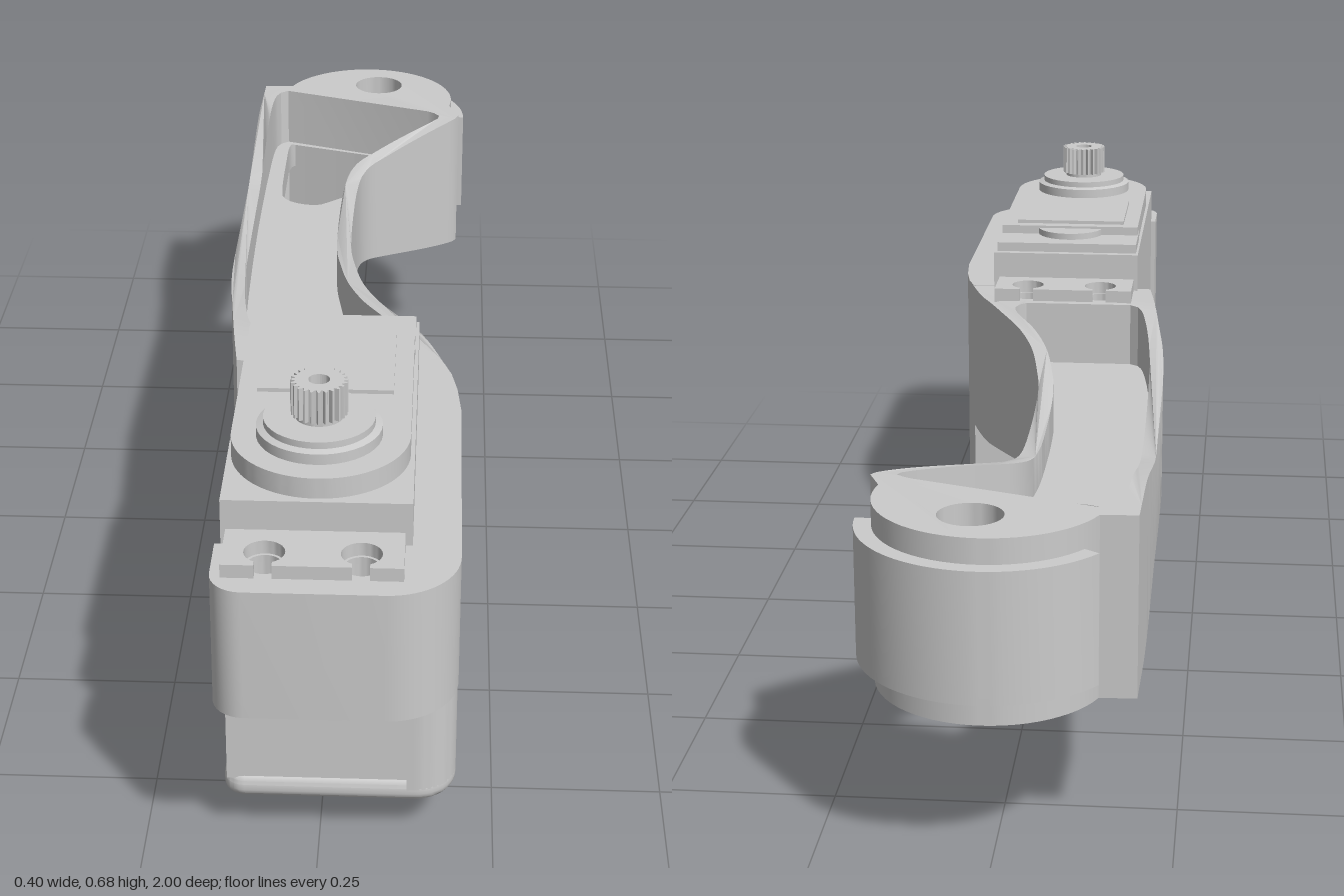
import * as THREE from 'three';
import { toCreasedNormals } from 'three/addons/utils/BufferGeometryUtils.js';

const V = (p) => new THREE.Vector2(p[0], -p[1]); // plan point (x, z) to shape space
const spline = (pts, n) => new THREE.SplineCurve(pts.map(V)).getSpacedPoints(n);
// Arc in shape space, where +y points to the back
const arc = (x, z, r, a0, a1, n = 24) => Array.from({ length: n + 1 }, (_, i) => {
  const a = THREE.MathUtils.degToRad(a0 + ((a1 - a0) * i) / n);
  return new THREE.Vector2(x + r * Math.cos(a), -z + r * Math.sin(a));
});
const circle = (x, z, r) => arc(x, z, r, 0, 360, 32).slice(0, -1);
// Outlines run counter-clockwise and holes clockwise, so that all walls face outwards
const wind = (pts, clockwise) =>
  (THREE.ShapeUtils.isClockWise(pts) === clockwise ? pts : [...pts].reverse());

// Upright slab from a plan outline, with holes and an optional bevel
function slab(outline, y0, y1, holes = [], bevel = 0) {
  const shape = new THREE.Shape(wind(outline, false));
  shape.holes = holes.map((h) => new THREE.Path(wind(h, true)));
  const g = new THREE.ExtrudeGeometry(shape, {
    depth: y1 - y0 - 2 * bevel, bevelEnabled: bevel > 0,
    bevelSize: bevel, bevelThickness: bevel, bevelOffset: -bevel, bevelSegments: 4,
  });
  return g.rotateX(-Math.PI / 2).translate(0, y0 + bevel, 0);
}

export function createModel() {
  const model = new THREE.Group();
  const material = new THREE.MeshStandardMaterial({ color: 0xcccccc });

  function add(name, geometry, x = 0, y = 0, z = 0) {
    const mesh = new THREE.Mesh(toCreasedNormals(geometry, 0.5), material);
    mesh.name = name;
    mesh.position.set(x, y, z);
    model.add(mesh);
    return mesh;
  }
  const box = (name, x0, x1, y0, y1, z0, z1) => add(name,
    new THREE.BoxGeometry(x1 - x0, y1 - y0, z1 - z0), (x0 + x1) / 2, (y0 + y1) / 2, (z0 + z1) / 2);

  // Arm: curved rim around a channel, pinched in height along its length
  const left = spline([[-0.155, 0.335], [-0.167, 0.24], [-0.18, 0.12], [-0.192, 0], [-0.198, -0.15],
    [-0.201, -0.4], [-0.2, -0.65], [-0.196, -0.87]], 60);
  const right = spline([[0.19, -0.73], [0.175, -0.705], [0.06, -0.59], [0.018, -0.54], [0.003, -0.47],
    [0, -0.32], [0.003, -0.18], [0.012, -0.1], [0.03, 0], [0.06, 0.09], [0.1, 0.17], [0.14, 0.25],
    [0.169, 0.335]], 70);
  const outline = [...left, ...arc(0.01, -0.81, 0.165, 158, -12, 30), ...right];
  const channel = [
    ...spline([[-0.125, 0.22], [-0.144, 0.2], [-0.158, 0.12], [-0.169, 0], [-0.175, -0.15],
      [-0.179, -0.4], [-0.178, -0.65], [-0.172, -0.81], [-0.15, -0.845]], 60),
    ...spline([[0.13, -0.745], [0.152, -0.727], [0.142, -0.705], [0.04, -0.605], [-0.006, -0.55],
      [-0.022, -0.47], [-0.025, -0.32], [-0.022, -0.18], [-0.013, -0.1], [0.005, 0], [0.034, 0.09],
      [0.07, 0.165], [0.077, 0.2], [0.06, 0.22]], 70),
  ];
  const rim = slab(outline, 0, 1, [channel, circle(0.03, -0.885, 0.046),
    circle(-0.068, 0.27, 0.024), circle(0.062, 0.27, 0.024)]);
  const pos = rim.attributes.position;
  for (let i = 0; i < pos.count; i++) {
    const z = pos.getZ(i);
    const u = THREE.MathUtils.clamp((0.22 - z) / 0.66, 0, 1);
    const pinch = z < -0.44 ? THREE.MathUtils.smoothstep(z, -0.76, -0.44)
      : 0.5 * (1 - (1 - u) ** 2 + THREE.MathUtils.smoothstep(u, 0, 1));
    pos.setY(i, THREE.MathUtils.lerp(0.227 + 0.05 * pinch, 0.494 - 0.053 * pinch, pos.getY(i)));
  }
  add('armRim', rim);

  // Web between the rim walls, with the three-cornered opening
  const opening = spline([[-0.148, -0.8], [-0.14, -0.838], [-0.11, -0.838], [0.0, -0.79], [0.1, -0.745],
    [0.118, -0.725], [0.1, -0.695], [-0.05, -0.545], [-0.09, -0.527], [-0.135, -0.55],
    [-0.147, -0.6], [-0.148, -0.8]], 60).slice(0, -1);
  add('armWeb', slab(channel, 0.335, 0.385, [opening]));

  // Raised pad wrapped around the arm's tip
  add('tipPad', slab([...arc(0.01, -0.81, 0.19, 145, 0, 32), ...arc(0.01, -0.81, 0.155, 0, 145, 32)],
    0.267, 0.457));

  // Housing: floor tray, side wall and front mounting block
  add('housingFloor', slab([...arc(-0.117, 0.36, 0.02, 180, 90, 6), ...arc(0.125, 0.39, 0.05, 90, 30, 8),
    V([0.189, 0.42]), V([0.195, 0.49]), ...arc(0.135, 0.82, 0.06, 0, -90, 10),
    ...arc(-0.107, 0.85, 0.03, -90, -180, 6)], 0.068, 0.107, [], 0.015));
  add('housingWall', slab([[0.125, 0.333], [0.168, 0.333], [0.18, 0.37], [0.189, 0.42], [0.195, 0.49]].map(V)
    .concat(arc(0.135, 0.82, 0.06, 0, -90, 12), [V([0.125, 0.88])]), 0.09, 0.495));
  add('frontMount', slab([V([-0.14, 0.88]), V([0.11, 0.88]), V([0.15, 0.8]), V([0.195, 0.8]),
    ...arc(0.095, 0.9, 0.1, 0, -90, 16), ...arc(-0.095, 0.955, 0.045, -90, -180, 8)],
  0.295, 0.495, [circle(-0.068, 0.93, 0.024), circle(0.062, 0.93, 0.024)]));

  // Motor case and its stepped lid
  box('motorCase', -0.132, 0.129, 0.1, 0.56, 0.322, 0.874);
  box('lidStep', -0.128, 0.124, 0.555, 0.576, 0.335, 0.45);
  add('lid', slab([V([-0.127, 0.41]), V([0.123, 0.41]), ...arc(-0.002, 0.74, 0.125, 0, -180, 40)],
    0.555, 0.591));
  add('lidTab', new THREE.CylinderGeometry(0.06, 0.06, 0.03, 32), -0.003, 0.572, 0.425);
  box('lidPanel', -0.1, 0.096, 0.585, 0.597, 0.43, 0.62);

  // Mounting ears with keyhole slots
  const keyhole = (x) => [new THREE.Vector2(x + 0.012, 0.095),
    ...arc(x, -0.06, 0.028, 64.6, -244.6, 28), new THREE.Vector2(x - 0.012, 0.095)];
  const ear = [V([-0.122, 0.01]), V([0.122, 0.01]), V([0.122, -0.095]),
    ...keyhole(0.065), ...keyhole(-0.065), V([-0.122, -0.095])];
  add('backEar', slab(ear, 0.49, 0.515), -0.003, 0, 0.33);
  add('frontEar', slab(ear, 0.49, 0.515), -0.003, 0, 0.87).rotation.y = Math.PI;

  // Output stage: stepped collar and toothed shaft
  const lathe = (pts) => new THREE.LatheGeometry(pts.map((p) => new THREE.Vector2(...p)), 40);
  add('outputCollar', lathe([[0.088, 0.585], [0.088, 0.607], [0.078, 0.61], [0.078, 0.62], [0.034, 0.62],
    [0.034, 0.63], [0, 0.63]]), -0.004, 0, 0.74);
  const teeth = Array.from({ length: 96 }, (_, i) => {
    const a = (i / 96) * Math.PI * 2;
    const r = i % 4 < 2 ? 0.04 : 0.034;
    return new THREE.Vector2(r * Math.cos(a), r * Math.sin(a));
  });
  add('toothedShaft', slab(teeth, 0.626, 0.676, [circle(0, 0, 0.015)]), -0.004, 0, 0.74);

  // Pivot pin under the housing
  add('pivotPin', lathe([[0, 0], [0.024, 0], [0.031, 0.004], [0.033, 0.01], [0.033, 0.055], [0.048, 0.07]]),
    -0.004, 0, 0.755);

  return model;
}
